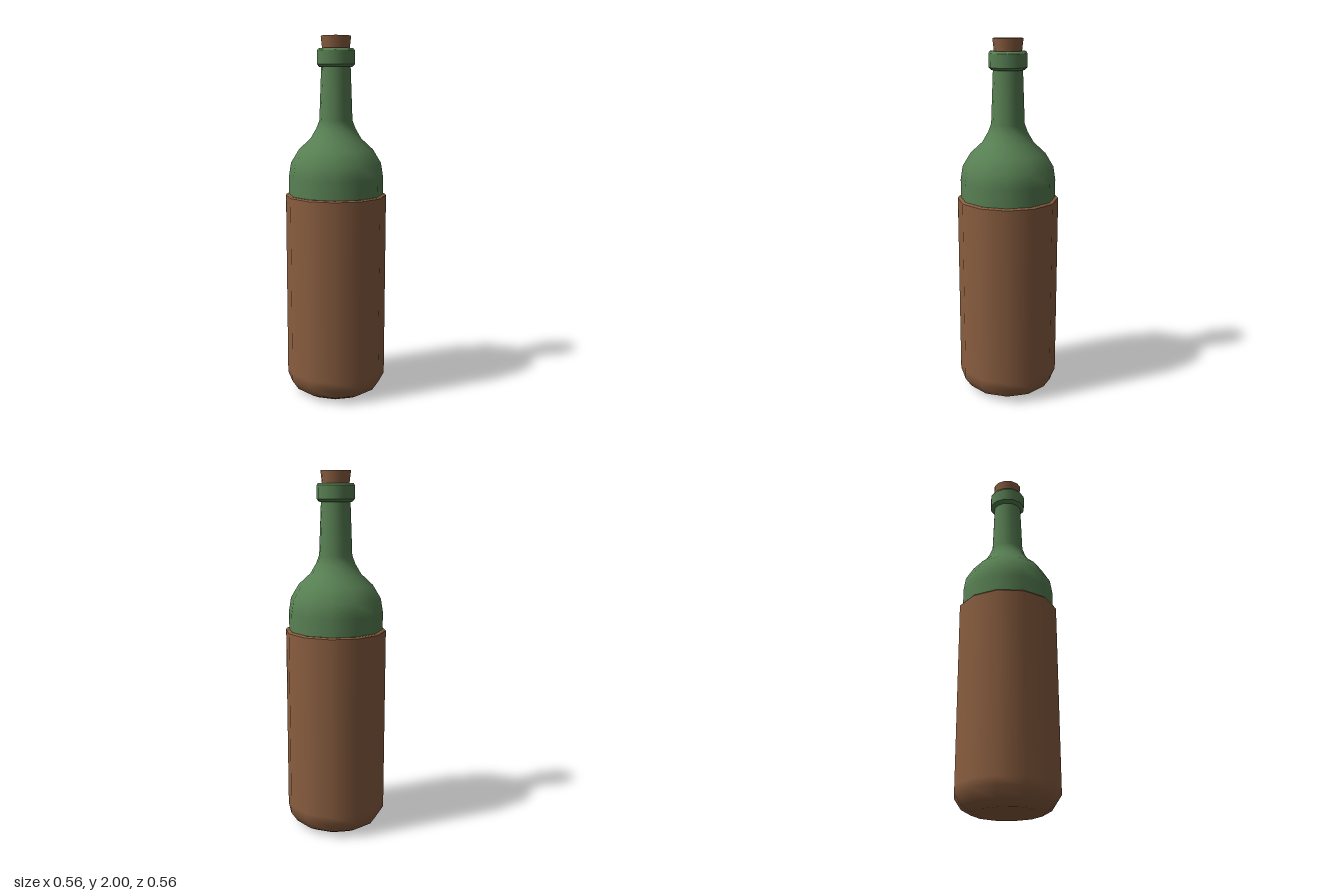
import * as THREE from 'three';

const SIDES = 12;

export function createModel() {
  const model = new THREE.Group();
  model.name = 'bottle';

  const glass = new THREE.MeshStandardMaterial({ color: 0x588053 });
  glass.name = 'green glass';
  const brown = new THREE.MeshStandardMaterial({ color: 0x8a5e40 });
  brown.name = 'brown leather and cork';

  // Each profile is a smooth strip; separate profiles meet at a sharp edge.
  function addLathe(parent, name, material, ...profiles) {
    const group = new THREE.Group();
    group.name = name;
    for (const profile of profiles) {
      const points = profile.map(([r, y]) => new THREE.Vector2(r, y));
      const mesh = new THREE.Mesh(new THREE.LatheGeometry(points, SIDES), material);
      mesh.name = name + 'Surface';
      group.add(mesh);
    }
    parent.add(group);
  }

  // Sleeve with rounded base, flat rim and inner wall
  addLathe(model, 'sleeve', brown,
    [[0, 0], [0.19, 0], [0.243, 0.03], [0.28, 0.085], [0.28, 0.13], [0.28, 1.135]],
    [[0.28, 1.135], [0.275, 1.142], [0.262, 1.142]],
    [[0.262, 1.142], [0.262, 1.05]]);

  // Bottle body, shoulder and neck
  addLathe(model, 'bottleBody', glass,
    [[0.262, 1.04], [0.262, 1.24], [0.25, 1.315], [0.205, 1.39], [0.14, 1.45],
      [0.108, 1.505], [0.091, 1.55], [0.08, 1.84]]);

  // Collar around the mouth
  addLathe(model, 'collar', glass,
    [[0.078, 1.836], [0.09, 1.836], [0.103, 1.85]],
    [[0.103, 1.85], [0.103, 1.922]],
    [[0.103, 1.922], [0.096, 1.934], [0.07, 1.934]]);

  // Tapered stopper
  addLathe(model, 'cork', brown,
    [[0.073, 1.92], [0.082, 2]],
    [[0.082, 2], [0, 2]]);

  return model;
}
